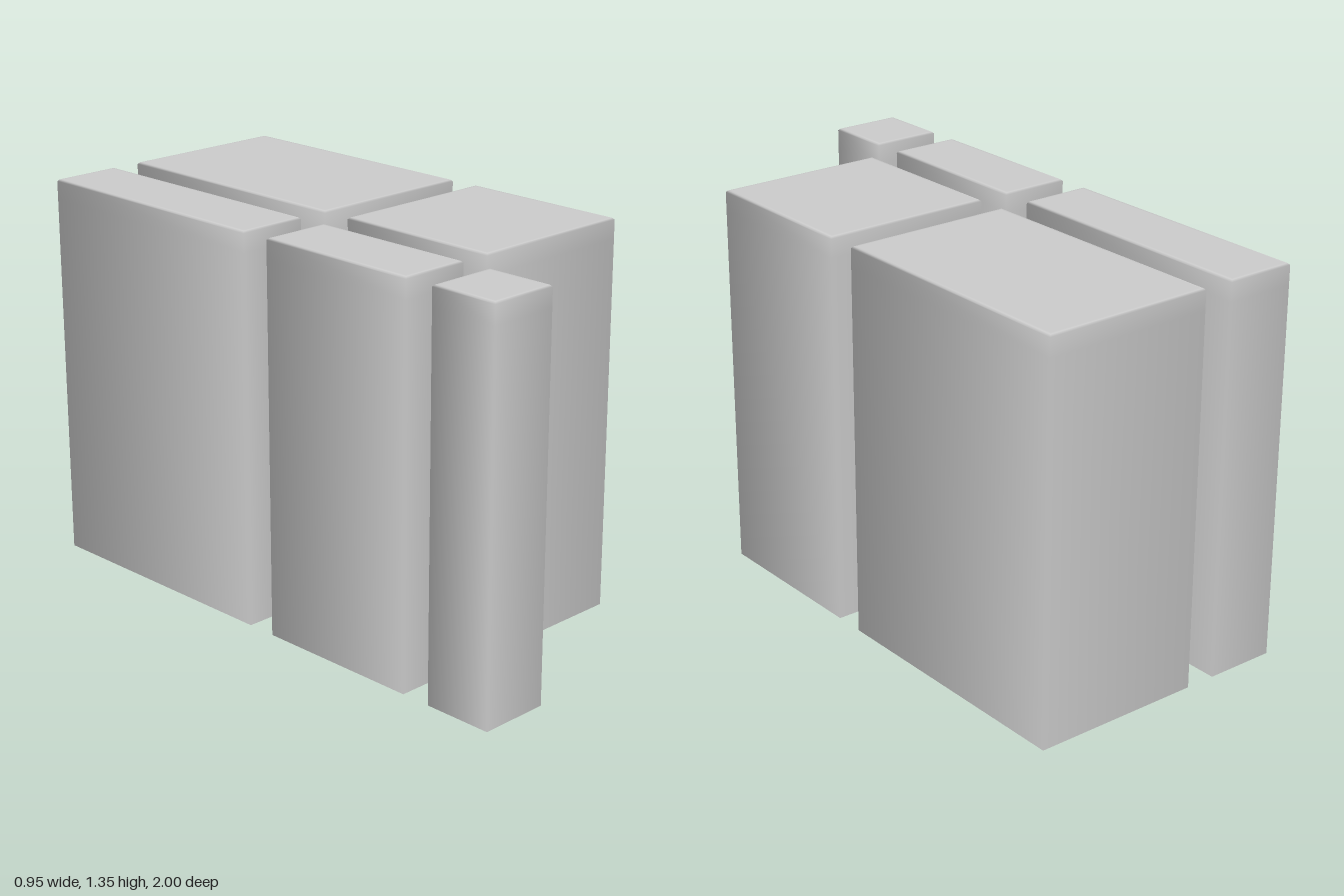
import * as THREE from 'three';

const HEIGHT = 1.345;
const CORE = 0.05; // half-size of the square block before it is stretched

// Bottom-to-top profile as [inset, y]: open base, straight wall, small soft rim, flat top
const PROFILE = [[0, 0], [0, HEIGHT - 0.07], [0, HEIGHT - 0.006], [0.006, HEIGHT], [0.015, HEIGHT], [CORE, HEIGHT]];

// Four-sided lathe whose corners are pushed outwards to the wanted footprint
function blockGeometry(width, depth) {
  const points = PROFILE.map(([inset, y]) => new THREE.Vector2((CORE - inset) * Math.SQRT2, y));
  const geometry = new THREE.LatheGeometry(points, 4, Math.PI / 4);
  const pos = geometry.attributes.position;
  for (let i = 0; i < pos.count; i++) {
    const x = pos.getX(i);
    const z = pos.getZ(i);
    pos.setX(i, x + Math.sign(x) * (width / 2 - CORE));
    pos.setZ(i, z + Math.sign(z) * (depth / 2 - CORE));
  }
  return geometry;
}

export function createModel() {
  const model = new THREE.Group();
  model.name = 'blockCluster';
  const material = new THREE.MeshStandardMaterial({ color: 0xcccccc, side: THREE.DoubleSide });

  // Column and row extents; the narrow front row has a right-hand block only
  const columns = { right: [-0.475, -0.23], left: [-0.125, 0.475] };
  const rows = { back: [-1, -0.055], middle: [0.05, 0.65], front: [0.755, 1] };

  for (const [row, [z0, z1]] of Object.entries(rows)) {
    for (const [column, [x0, x1]] of Object.entries(columns)) {
      if (row === 'front' && column === 'left') continue;
      const block = new THREE.Mesh(blockGeometry(x1 - x0, z1 - z0), material);
      block.name = `${row} ${column} block`;
      block.position.set((x0 + x1) / 2, 0, (z0 + z1) / 2);
      model.add(block);
    }
  }
  return model;
}
